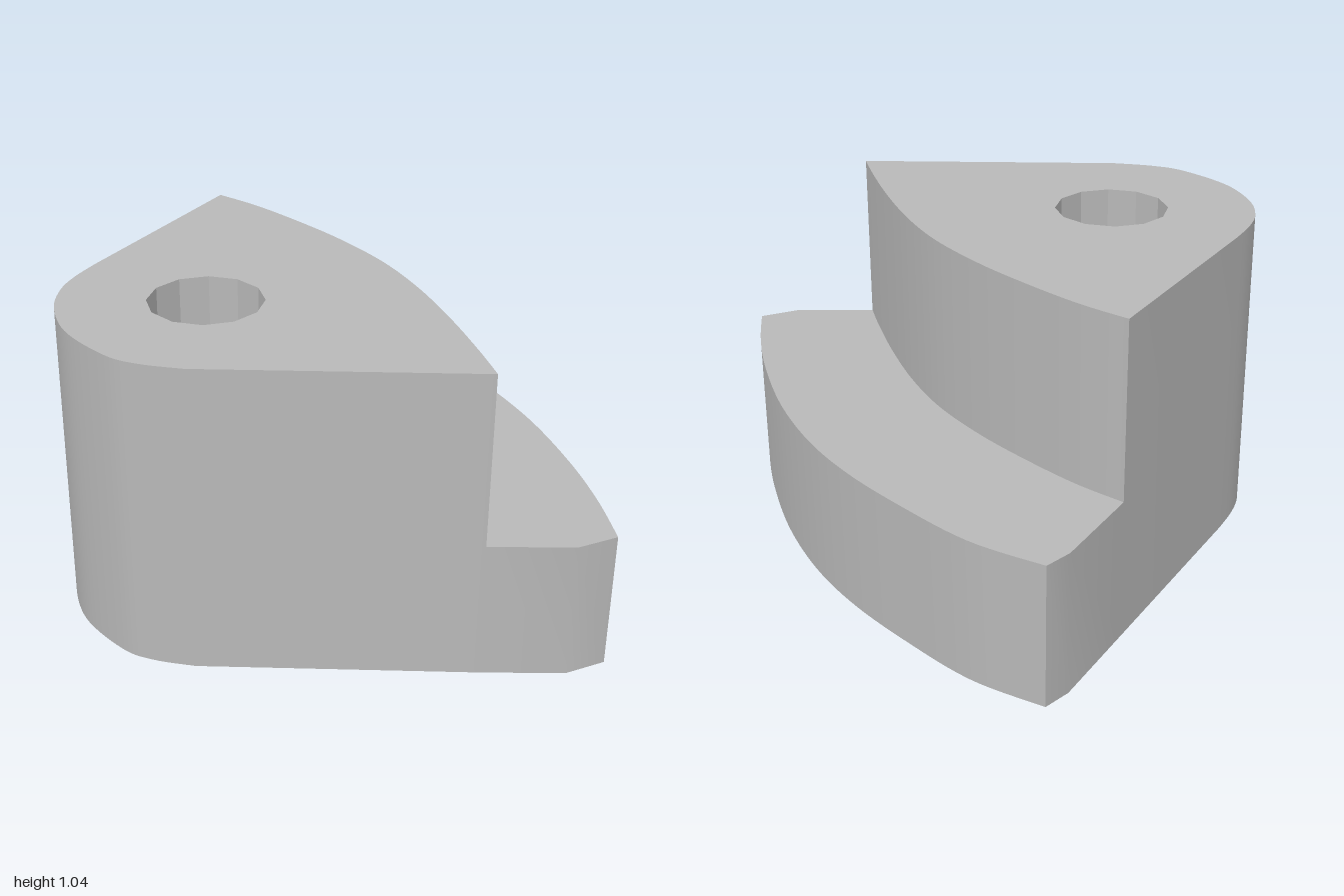
import * as THREE from 'three';
import { toCreasedNormals } from 'three/addons/utils/BufferGeometryUtils.js';

const pts = (list) => list.map(([x, z]) => new THREE.Vector2(x, -z));

// Curves of the plan, as [x, z]
const nose = [[-0.5, -0.455], [-0.6, -0.39], [-0.68, -0.315], [-0.75, -0.195], [-0.785, -0.02],
  [-0.75, 0.18], [-0.69, 0.28], [-0.59, 0.375]];
const innerArc = [[0.155, 0.845], [0.2, 0.69], [0.255, 0.47], [0.3, 0.23], [0.318, 0],
  [0.3, -0.24], [0.26, -0.46], [0.21, -0.66], [0.15, -0.82]];
const outerArc = [[0.53, 1], [0.615, 0.8], [0.69, 0.57], [0.755, 0.28], [0.78, 0],
  [0.765, -0.25], [0.715, -0.51], [0.64, -0.78], [0.52, -1]];

// Starts or continues a shape with a smooth curve through the points
function curveTo(shape, list, start = false) {
  const p = pts(list);
  if (start) shape.moveTo(p[0].x, p[0].y);
  else shape.lineTo(p[0].x, p[0].y);
  shape.splineThru(p.slice(1));
}

// Plan shape raised from the floor
function prism(name, shape, height, material) {
  const geo = new THREE.ExtrudeGeometry(shape, { depth: height, bevelEnabled: false, curveSegments: 6 });
  geo.rotateX(-Math.PI / 2);
  const mesh = new THREE.Mesh(toCreasedNormals(geo, 0.5), material);
  mesh.name = name;
  return mesh;
}

export function createModel() {
  const group = new THREE.Group();
  group.name = 'steppedSectorBlock';
  const grey = new THREE.MeshStandardMaterial({ color: 0xb8b8b8 });
  grey.name = 'grey';

  // Tall wedge with a rounded nose and a through hole
  const body = new THREE.Shape();
  curveTo(body, nose, true);
  curveTo(body, innerArc);
  body.closePath();
  const hole = new THREE.Path();
  hole.absarc(-0.32, 0.02, 0.185, 0, Math.PI * 2, true);
  body.holes.push(hole);
  group.add(prism('tallBody', body, 1.04, grey));

  // Low curved step with clipped corners
  const step = new THREE.Shape();
  curveTo(step, innerArc.slice().reverse(), true);
  step.lineTo(0.39, -0.985);
  curveTo(step, outerArc);
  step.lineTo(0.43, 0.977);
  step.closePath();
  group.add(prism('lowStep', step, 0.465, grey));

  return group;
}
